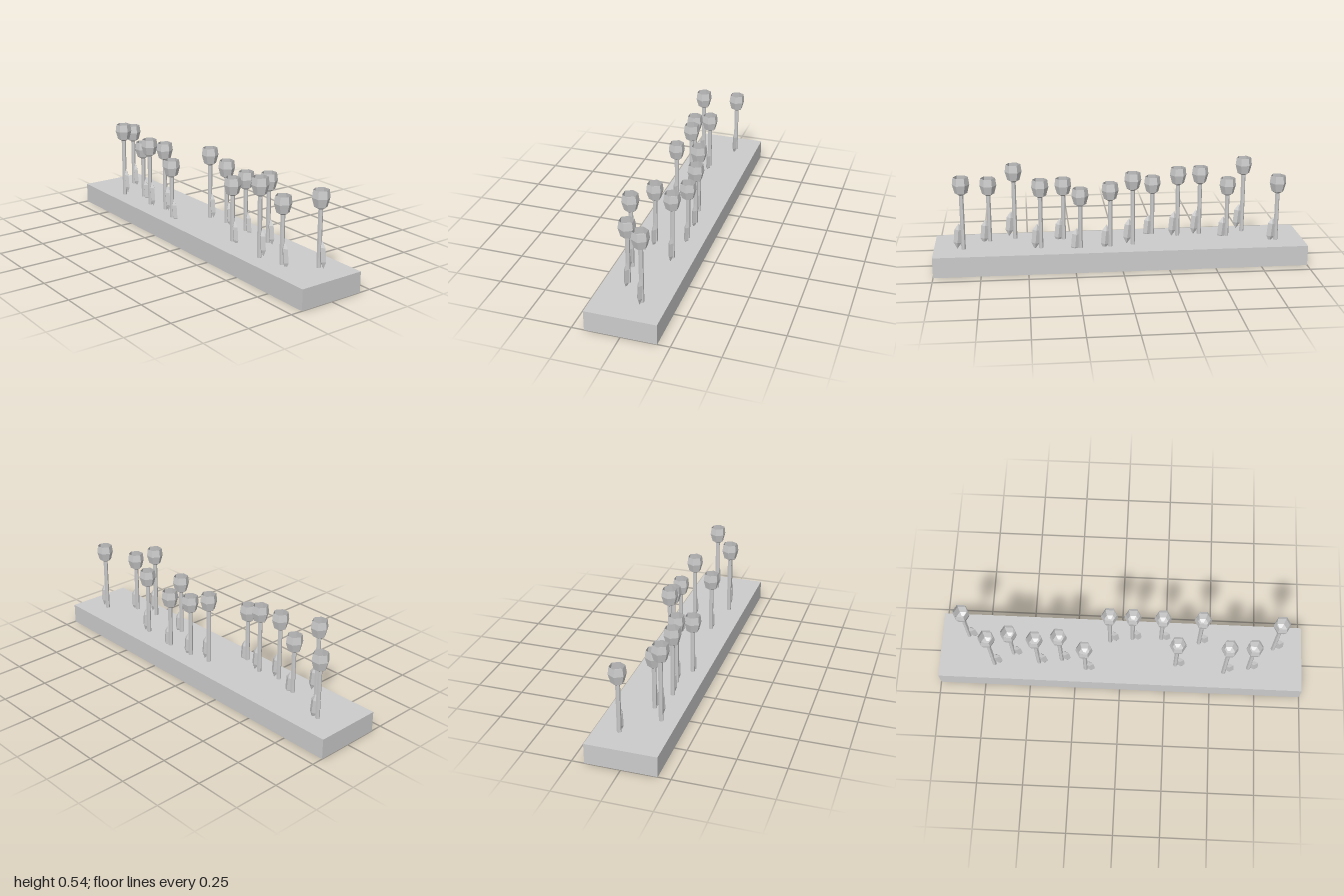
import * as THREE from 'three';

const BED_TOP = 0.11;

// x, z and top height of every flower, from left to right
const FLOWERS = [
  [-0.85, -0.06, 0.473], [-0.695, 0.10, 0.535], [-0.595, 0.032, 0.44],
  [-0.45, 0.08, 0.495], [-0.325, 0.06, 0.498], [-0.19, 0.105, 0.44],
  [-0.063, -0.062, 0.51], [0.06, -0.083, 0.463], [0.22, -0.09, 0.44],
  [0.303, 0.062, 0.455], [0.43, -0.073, 0.488], [0.568, 0.095, 0.53],
  [0.705, 0.064, 0.466], [0.842, -0.055, 0.508],
];

// Faceted look: every face gets its own normal
function faceted(geometry) {
  const g = geometry.toNonIndexed();
  g.computeVertexNormals();
  return g;
}

export function createModel() {
  const model = new THREE.Group();
  model.name = 'tulipBed';
  const grey = new THREE.MeshStandardMaterial({ color: 0xcccccc, side: THREE.DoubleSide });
  grey.name = 'light grey';

  const add = (parent, name, geometry, x, y, z) => {
    const mesh = new THREE.Mesh(geometry, grey);
    mesh.name = name;
    mesh.position.set(x, y, z);
    parent.add(mesh);
    return mesh;
  };

  // Flower bed
  add(model, 'bed', new THREE.BoxGeometry(2, BED_TOP, 0.37), 0, BED_TOP / 2, 0);

  // Open six-sided cup, measured down from its rim
  const cupProfile = [[0.01, -0.099], [0.033, -0.086], [0.0455, -0.04], [0.04, 0]]
    .map(([r, y]) => new THREE.Vector2(r, y));
  const cup = faceted(new THREE.LatheGeometry(cupProfile, 6, Math.PI / 2));

  // Pointed leaf
  const leaf = faceted(new THREE.SphereGeometry(1, 4, 3).scale(0.025, 0.072, 0.0144));

  FLOWERS.forEach(([x, z, top], i) => {
    const flower = new THREE.Group();
    flower.name = `tulip${i + 1}`;
    flower.position.set(x, 0, z);
    model.add(flower);

    const length = top - 0.095 - BED_TOP;
    const stem = faceted(new THREE.CylinderGeometry(0.012, 0.012, length, 6).rotateY(Math.PI / 6));
    add(flower, 'stem', stem, 0, BED_TOP + length / 2, 0);
    add(flower, 'blossom', cup, 0, top, 0);
    add(flower, 'leaf', leaf, 0.026, 0.198 + (top - 0.535) / 2, 0).rotation.z = 0.1;
  });

  return model;
}
